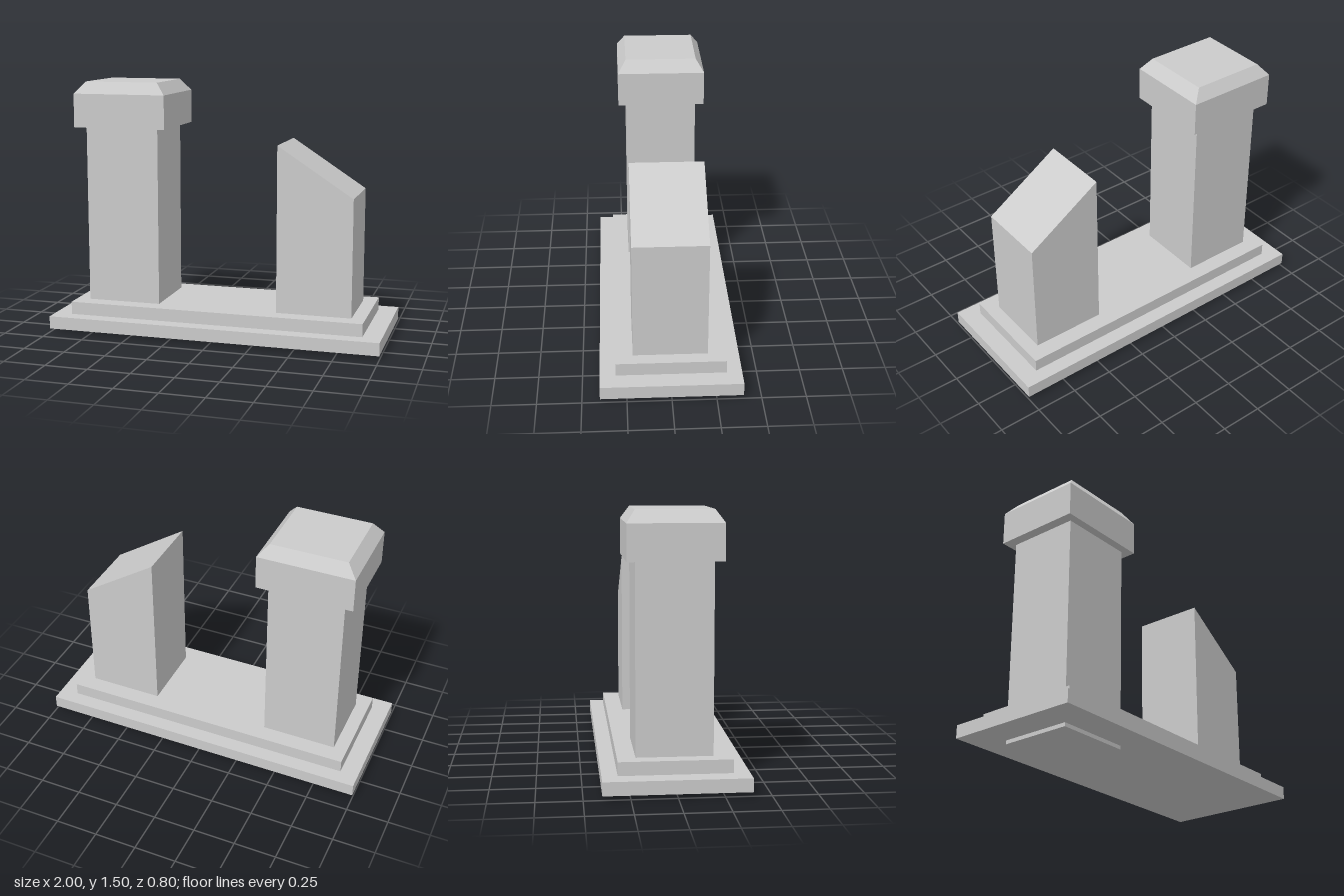
import * as THREE from 'three';

const material = new THREE.MeshStandardMaterial({ color: 0xcccccc, flatShading: true });

// Box given by its x, y and z ranges
function block(name, [x0, x1], [y0, y1], [z0, z1]) {
  const geometry = new THREE.BoxGeometry(x1 - x0, y1 - y0, z1 - z0);
  geometry.translate((x0 + x1) / 2, (y0 + y1) / 2, (z0 + z1) / 2);
  const mesh = new THREE.Mesh(geometry, material);
  mesh.name = name;
  return mesh;
}

// Reshape the top corners of a block by a rule
function shapeTop(mesh, rule) {
  const geometry = mesh.geometry;
  geometry.computeBoundingBox();
  const { max } = geometry.boundingBox;
  const pos = geometry.attributes.position;
  const v = new THREE.Vector3();
  for (let i = 0; i < pos.count; i++) {
    v.fromBufferAttribute(pos, i);
    if (v.y < max.y - 1e-4) continue;
    rule(v);
    pos.setXYZ(i, v.x, v.y, v.z);
  }
  geometry.computeVertexNormals();
  return mesh;
}

export function createModel() {
  const model = new THREE.Group();
  model.name = 'brokenGateway';

  // Stepped base
  model.add(block('lowerStep', [-1, 1], [0.022, 0.098], [-0.4, 0.4]));
  model.add(block('upperStep', [-0.893, 0.889], [0.098, 0.174], [-0.313, 0.311]));

  // Whole pillar, its foot reaching through the base
  const pillar = new THREE.Group();
  pillar.name = 'tallPillar';
  pillar.add(block('shaft', [-0.812, -0.364], [0, 1.234], [-0.212, 0.212]));
  pillar.add(block('capital', [-0.871, -0.305], [1.234, 1.435], [-0.26, 0.26]));

  // Bevelled top of the capital
  const bevel = block('capitalBevel', [-0.871, -0.305], [1.435, 1.505], [-0.26, 0.26]);
  pillar.add(shapeTop(bevel, (v) => {
    v.x = v.x < -0.588 ? -0.812 : -0.364;
    v.z = Math.sign(v.z) * 0.212;
  }));
  model.add(pillar);

  // Broken pillar, cut off at a slant
  const stump = block('brokenPillar', [0.362, 0.808], [0.1, 1.16], [-0.212, 0.212]);
  model.add(shapeTop(stump, (v) => {
    if (v.x > 0.585) v.y = 0.869;
  }));

  return model;
}
